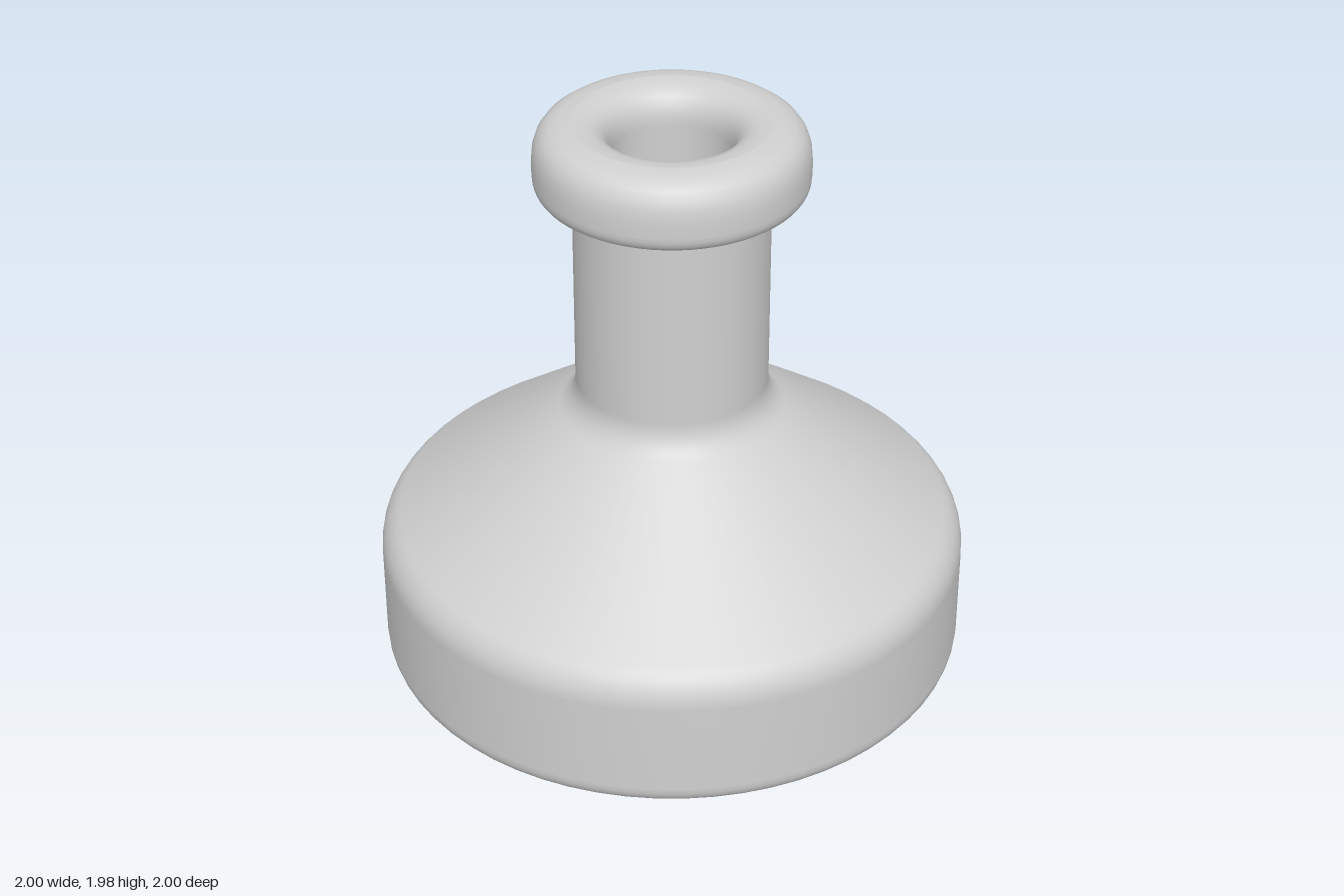
import * as THREE from 'three';

const SIDES = 64;

// Turns corner points [radius, y, cut] into a profile whose corners are rounded
// over the given cut length.
function roundedProfile(corners, steps = 6) {
  const pts = [];
  corners.forEach(([x, y, cut = 0], i) => {
    const p = new THREE.Vector2(x, y);
    if (!cut) {
      pts.push(p);
      return;
    }
    const toward = ([qx, qy]) =>
      new THREE.Vector2(qx - x, qy - y).normalize().multiplyScalar(cut).add(p);
    const a = toward(corners[i - 1]);
    const b = toward(corners[i + 1]);
    pts.push(...new THREE.QuadraticBezierCurve(a, p, b).getPoints(steps));
  });
  return pts;
}

function turned(name, corners, material) {
  const mesh = new THREE.Mesh(new THREE.LatheGeometry(roundedProfile(corners), SIDES), material);
  mesh.name = name;
  return mesh;
}

export function createModel() {
  const glass = new THREE.MeshStandardMaterial({ color: 0xd0d0d0 });
  glass.name = 'pale grey glass';
  const potion = new THREE.MeshStandardMaterial({ color: 0xc82472 });
  potion.name = 'magenta liquid';

  const group = new THREE.Group();
  group.name = 'flask';

  // Hollow bottle: base, sloping shoulder, neck, thick lip, then the inner wall
  group.add(turned('bottle', [
    [0, 0],
    [1, 0, 0.07],
    [1, 0.47, 0.08],
    [0.323, 0.965, 0.07],
    [0.323, 1.74, 0.02],
    [0.45, 1.74, 0.06],
    [0.45, 1.98, 0.13],
    [0.2, 1.98, 0.12],
    [0.2, 0.92, 0.06],
    [0.88, 0.43, 0.06],
    [0.88, 0.1, 0.06],
    [0, 0.1],
  ], glass));

  // Liquid filling the lower part of the cavity
  group.add(turned('liquid', [
    [0, 0.11],
    [0.86, 0.11, 0.06],
    [0.86, 0.42],
    [0.76, 0.5],
  ], potion));
  const surface = new THREE.Mesh(new THREE.CircleGeometry(0.76, SIDES), potion);
  surface.name = 'liquidSurface';
  surface.rotation.x = -Math.PI / 2;
  surface.position.y = 0.5;
  group.add(surface);

  return group;
}
